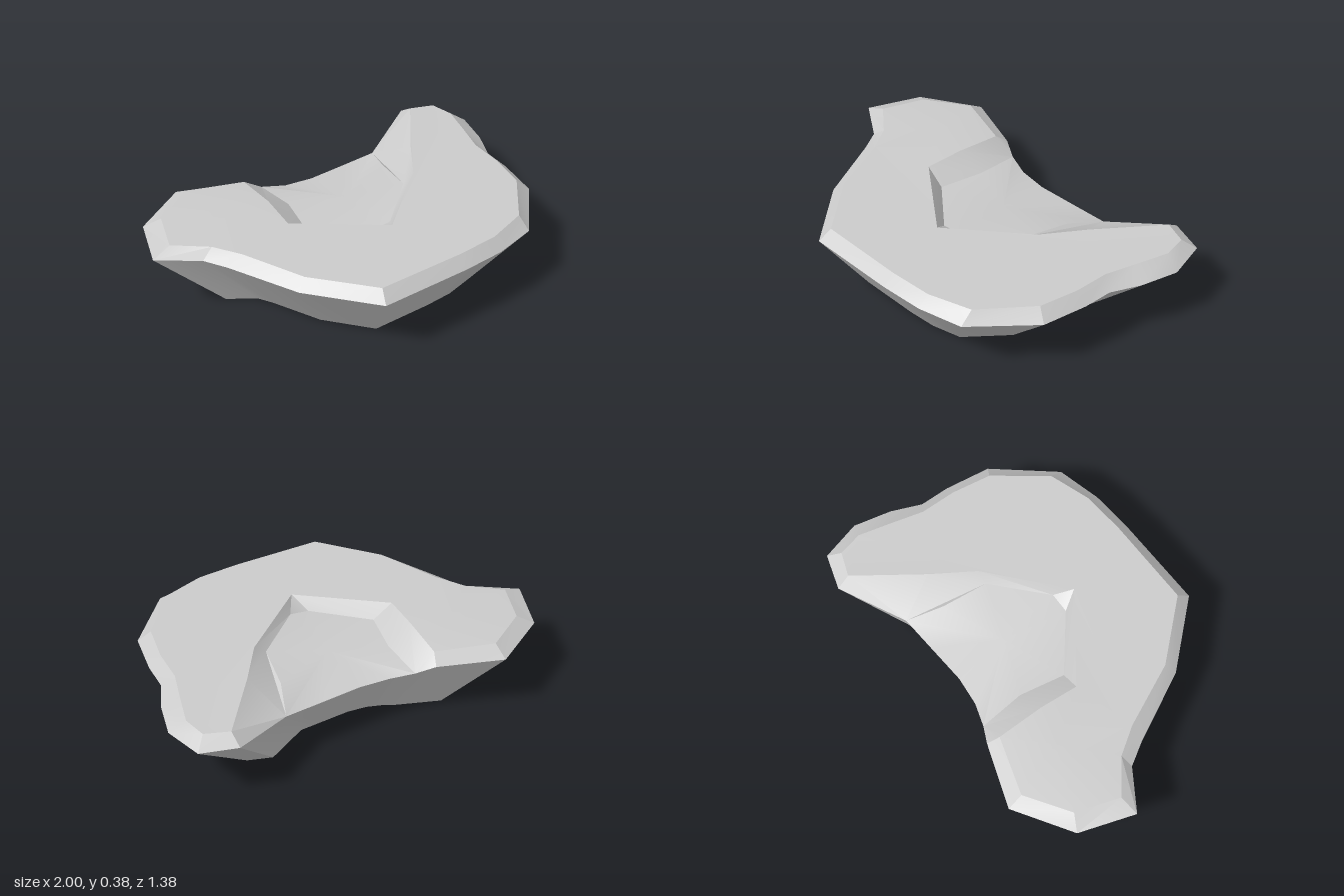
import * as THREE from 'three';
import { toCreasedNormals } from 'three/addons/utils/BufferGeometryUtils.js';

// Collects triangles that all face up (sign 1) or down (sign -1).
function surface(sign) {
  const pos = [];
  const tri = (a, b, c) => {
    const ny = (b[2] - a[2]) * (c[0] - a[0]) - (b[0] - a[0]) * (c[2] - a[2]);
    if (Math.abs(ny) < 1e-7) return;
    pos.push(...(ny * sign > 0 ? [a, b, c] : [a, c, b]).flat());
  };
  return {
    // band of quads between two matching rows of points
    strip(p, q, closed = false) {
      const n = p.length;
      for (let i = 0; i < (closed ? n : n - 1); i++) {
        const j = (i + 1) % n;
        tri(p[i], p[j], q[i]);
        tri(p[j], q[j], q[i]);
      }
    },
    fan(centre, loop) {
      loop.forEach((p, i) => tri(centre, p, loop[(i + 1) % loop.length]));
    },
    patch(loop) {
      const flat = loop.map(p => new THREE.Vector2(p[0], p[2]));
      for (const f of THREE.ShapeUtils.triangulateShape(flat, [])) tri(...f.map(i => loop[i]));
    },
    mesh(name, crease) {
      const g = new THREE.BufferGeometry();
      g.setAttribute('position', new THREE.Float32BufferAttribute(pos, 3));
      const m = new THREE.Mesh(toCreasedNormals(g, crease),
        new THREE.MeshStandardMaterial({ color: 0xcccccc }));
      m.name = name;
      return m;
    },
  };
}

export function createModel() {
  const group = new THREE.Group();
  group.name = 'rockSlab';

  // widest outline, from the back of the hollow round the right, front and left
  const rim = [
    [0.45, 0.255, -0.505], [0.76, 0.32, -0.69], [0.94, 0.315, -0.64], [1, 0.31, -0.44],
    [0.96, 0.31, -0.25], [0.9, 0.31, -0.1], [0.9, 0.31, 0.05], [0.87, 0.31, 0.28],
    [0.64, 0.31, 0.57], [0.42, 0.31, 0.635], [0.2, 0.31, 0.66], [-0.27, 0.31, 0.685],
    [-0.55, 0.315, 0.39], [-0.73, 0.32, 0.05], [-0.8, 0.32, -0.06], [-1, 0.33, -0.18],
    [-0.91, 0.325, -0.46], [-0.63, 0.32, -0.65], [-0.31, 0.315, -0.55],
  ];
  // top edge of the bevel, one point for each rim point
  const top = [
    rim[0], [0.77, 0.366, -0.62], [0.89, 0.366, -0.58], [0.92, 0.366, -0.46],
    [0.88, 0.366, -0.29], [0.84, 0.366, -0.13], [0.84, 0.366, 0.05], [0.81, 0.366, 0.25],
    [0.63, 0.366, 0.5], [0.42, 0.366, 0.58], [0.2, 0.366, 0.605], [-0.25, 0.366, 0.625],
    [-0.5, 0.366, 0.36], [-0.65, 0.366, 0.05], [-0.74, 0.366, -0.08], [-0.9, 0.366, -0.2],
    [-0.83, 0.366, -0.42], [-0.62, 0.366, -0.57], [-0.33, 0.36, -0.49],
  ];
  const hollowRim = [[-0.22, 0.28, -0.51], [-0.1, 0.265, -0.475], [0.05, 0.26, -0.465], [0.25, 0.257, -0.485]];

  // flared underside and base
  const outline = [...rim, ...hollowRim];
  const base = outline.map(([x, , z]) => [x * 0.66, 0, z * (z > 0 ? 0.69 : 0.67)]);
  const under = surface(-1);
  under.strip(outline, base, true);
  under.patch(base);
  group.add(under.mesh('flaredSides', 0.62));

  // upper edge and lower edge of the step round the hollow
  const stepTop = [rim[18], top[18], [-0.33, 0.378, -0.25], [-0.34, 0.366, -0.05],
    [0.07, 0.366, 0.235], [0.07, 0.366, 0.235], [0.42, 0.366, -0.09]];
  const stepFoot = [hollowRim[0], hollowRim[0], [-0.2, 0.297, -0.28], [-0.24, 0.295, -0.05],
    [0.02, 0.305, 0.15], [0.12, 0.318, 0.145], [0.36, 0.322, -0.09]];
  const slopeFoot = [0.39, 0.3, -0.32];
  const slopeTop = [0.55, 0.367, -0.3];

  // bevel, flat plateau and raised left-hand lobe
  const upper = surface(1);
  upper.strip(rim, top);
  upper.patch([...top.slice(1, 14), stepTop[3], stepTop[4], stepTop[6], slopeTop]);
  upper.fan([-0.52, 0.383, -0.3], [...top.slice(13), stepTop[2], stepTop[3]]);
  group.add(upper.mesh('plateau', 0.3));

  // step, side slope and floor of the hollow
  const hollow = surface(1);
  hollow.strip(stepTop, stepFoot);
  hollow.patch([stepTop[6], stepFoot[6], slopeFoot, rim[0], top[1], slopeTop]);
  hollow.fan([0.08, 0.295, -0.18], [...stepFoot.slice(2), slopeFoot, rim[0], ...[...hollowRim].reverse()]);
  group.add(hollow.mesh('hollow', 0.45));

  return group;
}
